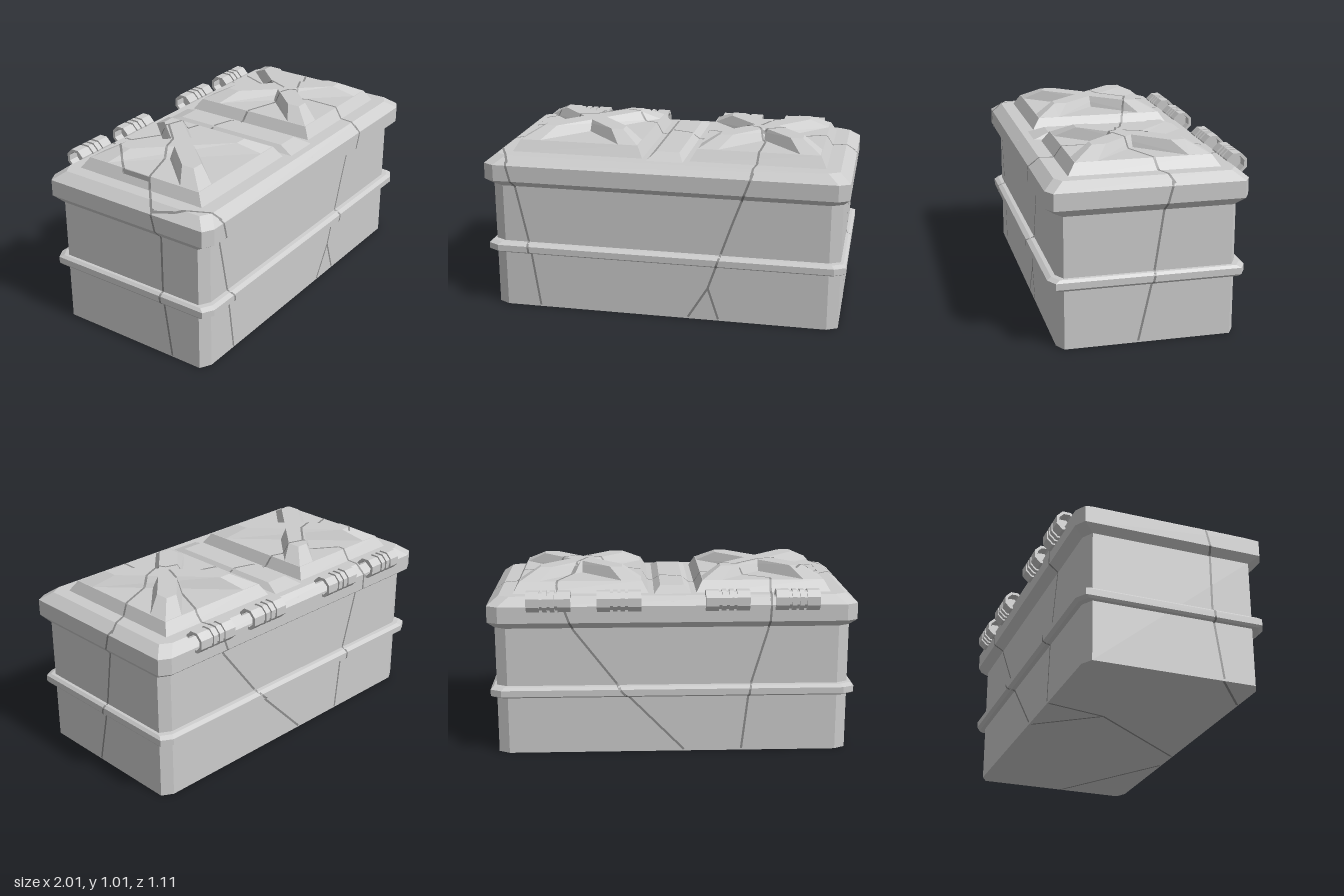
import * as THREE from 'three';
import { ConvexGeometry } from 'three/addons/geometries/ConvexGeometry.js';

const grey = new THREE.MeshStandardMaterial({ color: 0xcccccc, flatShading: true });
const crackGrey = new THREE.MeshStandardMaterial({ color: 0x8c8c8c, side: THREE.DoubleSide });
const V = (x, y, z) => new THREE.Vector3(x, y, z);
const CZ = 0.025; // depth centre of the box
const DOME_X = 0.498, DOME_Z = 0.02;

// Outline rows: [y, half width, half depth]
const BODY = [[0, 0.965, 0.475], [0.715, 0.965, 0.475]];
const BAND = [[0.323, 0.965, 0.475], [0.325, 0.985, 0.5], [0.337, 0.995, 0.52],
  [0.372, 0.995, 0.52], [0.385, 0.98, 0.497], [0.387, 0.965, 0.475]];
const LID = [[0.71, 0.965, 0.475], [0.75, 1, 0.5275], [0.84, 1, 0.5275], [0.885, 0.94, 0.47]];

function mesh(name, geometry, material = grey) {
  const m = new THREE.Mesh(geometry, material);
  m.name = name;
  return m;
}

// Skin a stack of rings (counter-clockwise from above) and close both ends
function loft(rings) {
  const pos = [], n = rings[0].length;
  const tri = (...p) => p.forEach(v => pos.push(v.x, v.y, v.z));
  for (let r = 0; r + 1 < rings.length; r++) {
    for (let i = 0; i < n; i++) {
      const a = rings[r][i], b = rings[r][(i + 1) % n];
      const c = rings[r + 1][(i + 1) % n], d = rings[r + 1][i];
      tri(a, b, c);
      tri(a, c, d);
    }
  }
  const low = rings[0], top = rings[rings.length - 1];
  for (let i = 1; i < n - 1; i++) {
    tri(low[0], low[i + 1], low[i]);
    tri(top[0], top[i], top[i + 1]);
  }
  const g = new THREE.BufferGeometry();
  g.setAttribute('position', new THREE.Float32BufferAttribute(pos, 3));
  g.computeVertexNormals();
  return g;
}

// Rectangle with cut corners
function cutRect([y, hx, hz], cx = 0.06, cz = 0.034) {
  return [[hx, hz - cz], [hx, cz - hz], [hx - cx, -hz], [cx - hx, -hz],
    [-hx, cz - hz], [-hx, hz - cz], [cx - hx, hz], [hx - cx, hz]]
    .map(([x, z]) => V(x, y, z + CZ));
}

// Raised panel with a cross of two bevelled ribs
function makePanel(side) {
  const g = new THREE.Group();
  g.name = side > 0 ? 'leftLidPanel' : 'rightLidPanel';
  const rect = (y, hx, hz) => [V(hx, y, hz), V(hx, y, -hz), V(-hx, y, -hz), V(-hx, y, hz)];
  g.add(mesh('panelBase', loft([rect(0.88, 0.37, 0.402), rect(0.945, 0.333, 0.358)])));
  // diagonal strip clipped to a rectangle
  const strip = (y, hx, hz, w, s) => {
    const l = Math.hypot(0.333, 0.358), dx = w * l / 0.358, dz = w * l / 0.333;
    return [[hx, hz], [hx - dx, hz], [hx, hz - dz]]
      .flatMap(([x, z]) => [V(x, y, z * s), V(-x, y, -z * s)]);
  };
  for (const s of [-1, 1]) {
    g.add(mesh('crossRib', new ConvexGeometry(
      [...strip(0.943, 0.333, 0.358, 0.08, s), ...strip(1.003, 0.225, 0.245, 0.05, s)])));
  }
  g.position.set(side * DOME_X, 0, DOME_Z);
  return g;
}

// Faceted hinge: open knuckles around a pin
function makeHinge(x) {
  const g = new THREE.Group();
  g.name = 'hinge';
  const arc = r => Array.from({ length: 8 }, (_, k) => {
    const a = (-112.5 + 45 * k) * Math.PI / 180;
    return new THREE.Vector2(r * Math.cos(a), r * Math.sin(a));
  });
  const shape = new THREE.Shape([...arc(0.0595), ...arc(0.043).reverse()]);
  for (const [at, width] of [[-0.083, 0.07], [-0.02, 0.024], [0.02, 0.024], [0.083, 0.07]]) {
    const k = new THREE.ExtrudeGeometry(shape, { depth: width, bevelEnabled: false });
    k.translate(0, 0, -width / 2).rotateY(Math.PI / 2).translate(at, 0, 0);
    g.add(mesh('knuckle', k));
  }
  const pin = new THREE.CylinderGeometry(0.05, 0.05, 0.12, 8);
  g.add(mesh('pin', pin.rotateY(Math.PI / 8).rotateZ(Math.PI / 2)));
  g.position.set(x, 0.87, -0.495);
  return g;
}

// Height of the lid surface
function lidHeight(x, z) {
  const ax = Math.abs(x), az = Math.abs(z - CZ);
  let h = Math.min(0.885, 0.885 - 0.75 * (ax - 0.94), 0.885 - 0.78 * (az - 0.47));
  if (ax < 0.1) h = Math.max(h, Math.min(0.915, 0.885 + 0.75 * (0.1 - ax), 0.915 - 0.33 * (az - 0.34)));
  const u = Math.abs(ax - DOME_X), v = Math.abs(z - DOME_Z);
  if (u < 0.37 && v < 0.402) {
    h = Math.max(h, Math.min(0.945, 0.88 + 1.757 * (0.37 - u), 0.88 + 1.477 * (0.402 - v)));
    const p = Math.abs(u * 0.358 - v * 0.333) / Math.hypot(0.333, 0.358);
    h = Math.max(h, Math.min(1.003, 0.943 + 2 * (0.08 - p),
      0.943 + 0.555 * (0.333 - u), 0.943 + 0.53 * (0.358 - v)));
  }
  return h;
}

// Half width (1) or half depth (2) of the walls at a height
function wallReach(y, axis) {
  let reach = y < 0.71 ? BODY[0][axis] : 0;
  for (const rows of [BAND, LID]) {
    for (let i = 0; i + 1 < rows.length; i++) {
      const a = rows[i], b = rows[i + 1];
      if (y >= a[0] && y <= b[0]) {
        reach = Math.max(reach, THREE.MathUtils.lerp(a[axis], b[axis], (y - a[0]) / (b[0] - a[0])));
      }
    }
  }
  return reach;
}

// Thin crack line draped over a surface
function makeCrack(path, place) {
  const pos = [], index = [], steps = 60, w = 0.006;
  for (let s = 0; s + 1 < path.length; s++) {
    const [a, b] = [path[s], path[s + 1]];
    const du = b[0] - a[0], dv = b[1] - a[1], l = Math.hypot(du, dv);
    for (let i = 0; i <= steps; i++) {
      const u = a[0] + du * i / steps, v = a[1] + dv * i / steps, k = pos.length / 3;
      for (const e of [-w, w]) pos.push(...place(u - e * dv / l, v + e * du / l).toArray());
      if (i < steps) index.push(k, k + 1, k + 3, k, k + 3, k + 2);
    }
  }
  const g = new THREE.BufferGeometry();
  g.setAttribute('position', new THREE.Float32BufferAttribute(pos, 3));
  g.setIndex(index);
  g.computeVertexNormals();
  return mesh('crack', g, crackGrey);
}

export function createModel() {
  const model = new THREE.Group();
  model.name = 'crackedChest';
  model.add(mesh('body', loft(BODY.map(r => cutRect(r)))));
  model.add(mesh('band', loft(BAND.map(r => cutRect(r)))));
  model.add(mesh('lid', loft(LID.map(r => cutRect(r)))));
  for (const side of [-1, 1]) model.add(makePanel(side));

  // Raised strip between the panels, sloping off at both ends
  const spine = [];
  for (const s of [-1, 1]) {
    for (const t of [-1, 1]) {
      spine.push(V(t * 0.065, 0.915, CZ + s * 0.34), V(t * 0.1, 0.885, CZ + s * 0.43), V(t * 0.1, 0.87, CZ + s * 0.46));
    }
    spine.push(V(0, 0.858, CZ + s * 0.508));
  }
  model.add(mesh('lidSpine', new ConvexGeometry(spine)));

  for (const x of [-0.665, -0.29, 0.29, 0.665]) model.add(makeHinge(x));

  // Cracks, grouped by the side they run over
  const e = 0.003;
  const sides = [
    [(x, z) => V(x, lidHeight(x, z) + e, z), [ // lid
      [[-0.53, -0.49], [-0.54, -0.3], [-0.36, -0.18], [0.46, 0.08], [0.51, 0.18], [0.505, 0.35], [0.48, 0.54]],
      [[0.6, -0.49], [0.63, -0.35], [0.47, 0.04]],
      [[0.51, 0.18], [0.48, 0.12], [0.99, -0.1]],
      [[-0.36, -0.18], [-0.5, -0.04], [-0.84, 0.07], [-0.99, 0.2]],
      [[-0.84, 0.07], [-0.84, -0.1], [-0.69, -0.25]],
      [[-0.99, 0.2], [-0.96, 0.33], [-0.86, 0.54]]]],
    [(x, y) => V(x, y, CZ + wallReach(y, 2) + e), [ // front
      [[-0.87, 0.86], [-0.84, 0.74], [-0.76, 0.36], [-0.71, 0.01]],
      [[0.49, 0.87], [0.38, 0.57], [0.25, 0.19], [0.14, 0.01]],
      [[0.25, 0.19], [0.31, 0.01]]]],
    [(x, y) => V(x, y, CZ - wallReach(y, 2) - e), [ // back
      [[0.6, 0.87], [0.54, 0.7], [0.28, 0.36], [-0.06, 0.01]],
      [[-0.53, 0.87], [-0.52, 0.7], [-0.42, 0.36], [-0.38, 0.01]]]],
    [(z, y) => V(wallReach(y, 1) + e, y, z), [[[-0.09, 0.86], [-0.05, 0.71], [0, 0.37], [0.08, 0.01]]]],
    [(z, y) => V(-wallReach(y, 1) - e, y, z), [[[0.2, 0.86], [0.24, 0.7], [0.24, 0.36], [0.29, 0.01]]]],
    [(x, z) => V(x, -0.001, z), [ // underside
      [[0.96, 0.08], [0.31, 0.49]], [[0.14, 0.49], [-0.31, -0.11], [-0.06, -0.44]],
      [[-0.31, -0.11], [-0.38, -0.44]], [[-0.71, 0.49], [-0.96, 0.29]]]],
  ];
  for (const [place, paths] of sides) for (const p of paths) model.add(makeCrack(p, place));
  return model;
}
